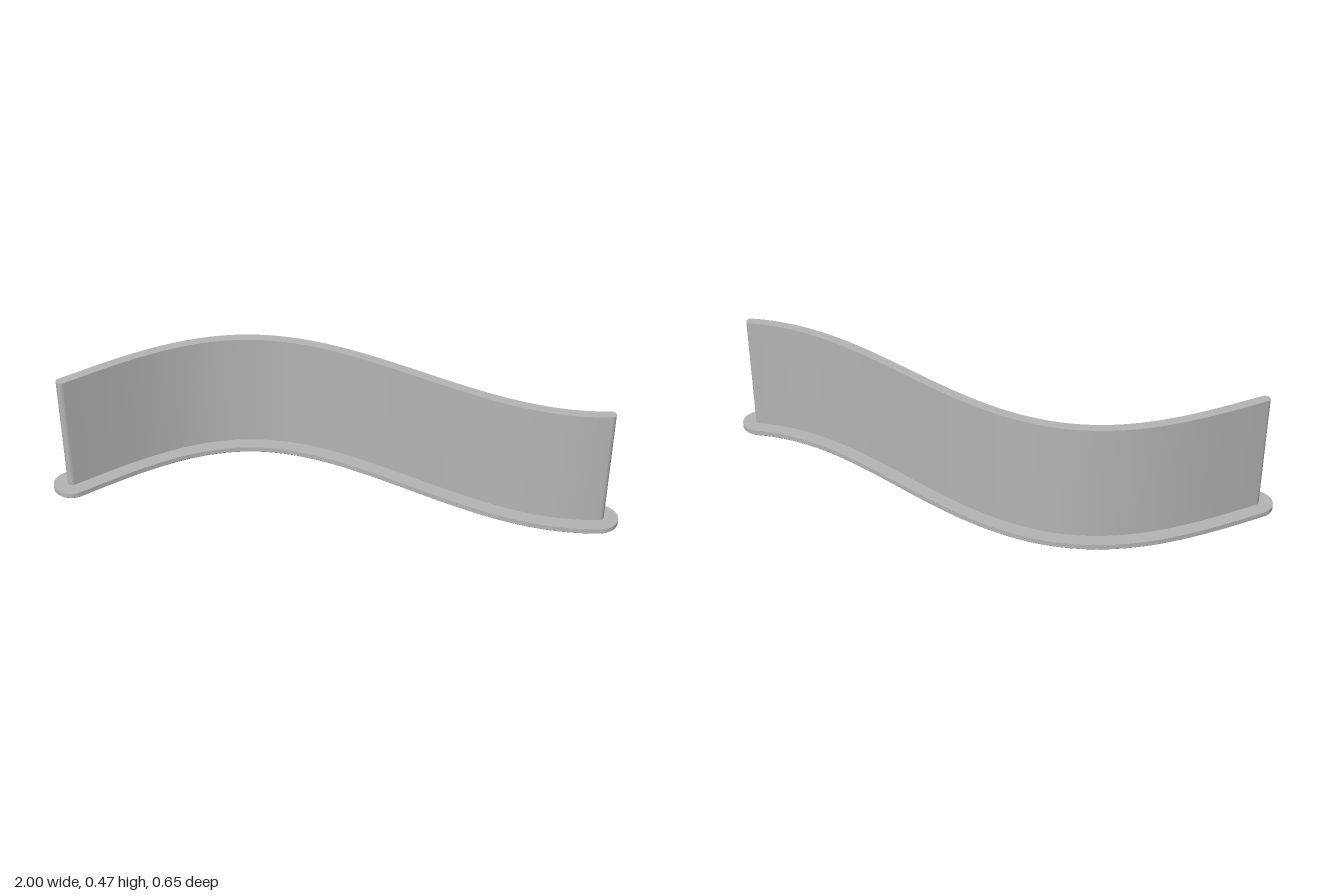
import * as THREE from 'three';

const HALF = 0.932, AMP = 0.257, STEPS = 96, CAP = 12;
const RATE = (Math.PI * 1.5) / (HALF * 2);

// Three-quarter sine wave seen from above
const waveZ = x => -AMP * Math.sin(RATE * (x + HALF));
const waveSlope = x => -AMP * RATE * Math.cos(RATE * (x + HALF));

// One long edge of the ribbon, from tip to tip, at distance r; side is +1 or -1
function edge(r, side) {
  const points = [];
  const add = (x, angle) => {
    const m = waveSlope(x), len = Math.hypot(1, m);
    const tx = 1 / len, tz = m / len;
    const along = r * Math.cos(angle), across = side * r * Math.sin(angle);
    points.push([x + tx * along - tz * across, waveZ(x) + tz * along + tx * across]);
  };
  for (let j = 0; j < CAP; j++) add(-HALF, Math.PI - ((j + 0.25) / CAP) * Math.PI / 2);
  for (let i = 0; i <= STEPS; i++) add(-HALF + (2 * HALF * i) / STEPS, Math.PI / 2);
  for (let j = CAP - 1; j >= 0; j--) add(HALF, ((j + 0.25) / CAP) * Math.PI / 2);
  return points;
}

// Solid ribbon with rounded ends; levels are [radius, y] from bottom to top
function ribbon(levels) {
  const pos = [], index = [];
  const push = (list, y) => {
    const start = pos.length / 3;
    list.forEach(([x, z]) => pos.push(x, y, z));
    return start;
  };
  const quad = (a, b, c, d) => index.push(a, b, c, a, c, d);

  // Side bands, each with its own vertices so that edges stay sharp
  const ring = r => [...edge(r, 1), ...edge(r, -1).reverse()];
  for (let k = 0; k + 1 < levels.length; k++) {
    const lower = ring(levels[k][0]), n = lower.length;
    const a = push(lower, levels[k][1]);
    const b = push(ring(levels[k + 1][0]), levels[k + 1][1]);
    for (let i = 0; i < n; i++) {
      const j = (i + 1) % n;
      quad(a + i, a + j, b + j, b + i);
    }
  }

  // Flat top and bottom
  for (const [level, up] of [[levels[0], false], [levels[levels.length - 1], true]]) {
    const front = edge(level[0], 1);
    const a = push(front, level[1]), b = push(edge(level[0], -1), level[1]);
    for (let i = 0; i + 1 < front.length; i++) {
      if (up) quad(a + i, a + i + 1, b + i + 1, b + i);
      else quad(a + i, b + i, b + i + 1, a + i + 1);
    }
  }

  const geometry = new THREE.BufferGeometry();
  geometry.setAttribute('position', new THREE.Float32BufferAttribute(pos, 3));
  geometry.setIndex(index);
  geometry.computeVertexNormals();
  return geometry;
}

export function createModel() {
  const grey = new THREE.MeshStandardMaterial({ color: 0xb4b4b4 });
  grey.name = 'grey';
  const model = new THREE.Group();
  model.name = 'wavyWall';

  // Base strip with a small chamfer underneath
  const base = new THREE.Mesh(ribbon([[0.063, 0], [0.068, 0.005], [0.068, 0.023]]), grey);
  base.name = 'base';

  // Thin upright wall following the same curve
  const wall = new THREE.Mesh(ribbon([[0.0175, 0.022], [0.0175, 0.466]]), grey);
  wall.name = 'wall';

  model.add(base, wall);
  return model;
}
